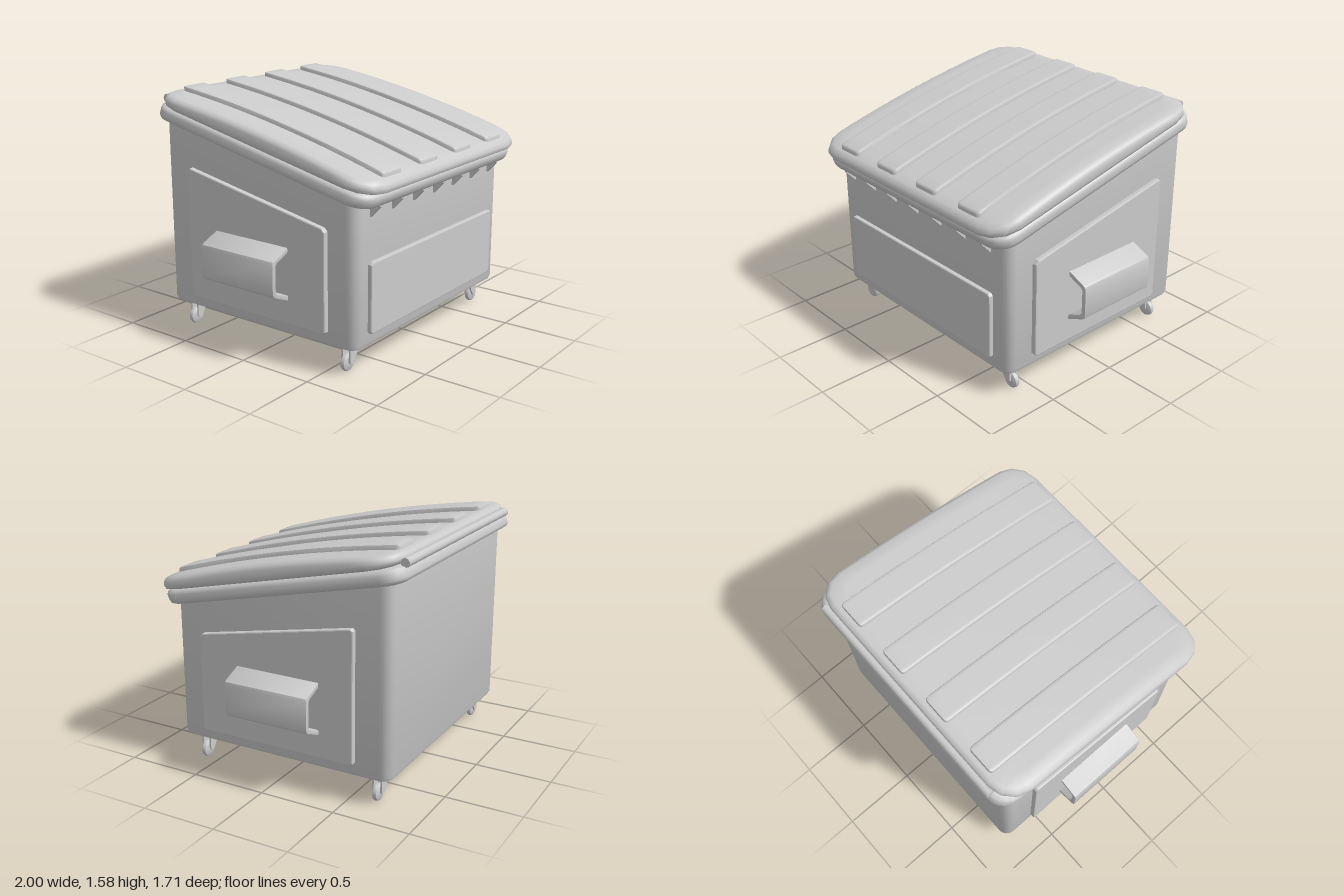
import * as THREE from 'three';
import { toCreasedNormals } from 'three/addons/utils/BufferGeometryUtils.js';

const grey = new THREE.MeshStandardMaterial({ color: 0xcccccc });

// Heights along the sloping top, as functions of z
const rimY = z => 1.215 - 0.2216 * z;
const lidY = z => 1.315 - 0.2216 * z;
const crownY = z => 1.425 - 0.2153 * z - 0.058 * z * z;

function add(parent, name, geometry, x = 0, y = 0, z = 0) {
  const mesh = new THREE.Mesh(geometry, grey);
  mesh.name = name;
  mesh.position.set(x, y, z);
  parent.add(mesh);
  return mesh;
}

// Rounded rectangle in x/z as a list of points, straight edges subdivided
function outline(w, d, r, seg, n) {
  const corners = [[1, 1], [-1, 1], [-1, -1], [1, -1]];
  const arcs = corners.map(([sx, sz], q) => {
    const arc = [];
    for (let i = 0; i <= seg; i++) {
      const a = (q + i / seg) * Math.PI / 2;
      arc.push([sx * (w / 2 - r) + r * Math.cos(a), sz * (d / 2 - r) + r * Math.sin(a)]);
    }
    return arc;
  });
  const pts = [];
  arcs.forEach((arc, q) => {
    pts.push(...arc);
    const a = arc[seg], b = arcs[(q + 1) % 4][0];
    for (let i = 1; i < n; i++) {
      const t = i / n;
      pts.push([a[0] + (b[0] - a[0]) * t, a[1] + (b[1] - a[1]) * t]);
    }
  });
  return pts;
}

// Loft of rounded rectangles; each ring is { inset, y(z), k: scale to centre, dz }
function loft({ x = 0, w, front, back, r, seg = 4, n = 1 }, rings, crease = 0.6) {
  const zc = (front + back) / 2, d = front - back, pos = [], idx = [];
  let m = 0;
  for (const { inset = 0, y, k = 1, dz = 0 } of rings) {
    const pts = outline(w - 2 * inset, d - 2 * inset, Math.max(r - inset, 0.004), seg, n);
    m = pts.length;
    for (const [px, pz] of pts) {
      const z = zc + pz * k + dz;
      pos.push(x + px * k, y(z), z);
    }
  }
  for (let i = 0; i < rings.length - 1; i++) for (let j = 0; j < m; j++) {
    const a = i * m + j, b = i * m + (j + 1) % m, c = a + m, e = b + m;
    if (rings[i].k !== 0) idx.push(a, c, b);
    if (rings[i + 1].k !== 0) idx.push(b, c, e);
  }
  const g = new THREE.BufferGeometry();
  g.setAttribute('position', new THREE.Float32BufferAttribute(pos, 3));
  g.setIndex(idx);
  return toCreasedNormals(g, crease);
}

// Rings that shrink to the centre to close a curved top
const cap = (inset, y, steps) =>
  Array.from({ length: steps }, (_, i) => ({ inset, y, k: 1 - (i + 1) / steps }));

// Extrusion centred on its depth
function extrude(points, depth, bevel = 0) {
  const shape = new THREE.Shape(points.map(p => new THREE.Vector2(...p)));
  const g = new THREE.ExtrudeGeometry(shape, {
    depth: depth - 2 * bevel, bevelEnabled: bevel > 0, bevelSize: bevel,
    bevelThickness: bevel, bevelOffset: -bevel, bevelSegments: 2,
  });
  return g.translate(0, 0, -(depth - 2 * bevel) / 2);
}

export function createModel() {
  const model = new THREE.Group();
  model.name = 'dumpster';

  // Container body with rounded corners and sloping top
  const bodyTop = z => rimY(z) + 0.05;
  add(model, 'body', loft({ w: 1.66, front: 0.72, back: -0.78, r: 0.07, seg: 6 }, [
    { inset: 0.03, y: () => 0.17, k: 0 },
    { inset: 0.03, y: () => 0.17 },
    { inset: 0.01, y: () => 0.178 },
    { y: () => 0.2 },
    { y: bodyTop },
    { y: bodyTop, k: 0 },
  ]));

  // Rounded rim around the opening
  const rimAt = h => z => rimY(z) + h;
  add(model, 'rim', loft({ w: 1.75, front: 0.81, back: -0.845, r: 0.13, seg: 5 }, [
    { inset: 0.03, y: rimAt(0), k: 0, dz: -0.012 },
    { inset: 0.03, y: rimAt(0), dz: -0.012 },
    { inset: 0.008, y: rimAt(0.01), dz: -0.01 },
    { y: rimAt(0.03), dz: -0.005 },
    { y: rimAt(0.065), dz: 0.008 },
    { inset: 0.008, y: rimAt(0.085), dz: 0.01 },
    { inset: 0.03, y: rimAt(0.095), dz: 0.012 },
    { inset: 0.03, y: rimAt(0.095), k: 0, dz: 0.012 },
  ], 0.9));

  // Domed lid
  const lidAt = h => z => lidY(z) + h;
  const crownAt = h => z => crownY(z) + h;
  add(model, 'lid', loft({ w: 1.79, front: 0.855, back: -0.81, r: 0.18, seg: 3, n: 14 }, [
    { inset: 0.03, y: lidAt(0), k: 0 },
    { inset: 0.03, y: lidAt(0) },
    { inset: 0.008, y: lidAt(0.008) },
    { y: lidAt(0.025) },
    { y: crownAt(-0.035) },
    { inset: 0.01, y: crownAt(-0.014) },
    { inset: 0.035, y: crownAt(0) },
    ...cap(0.035, crownAt(0), 12),
  ], 0.9));

  // Raised ribs following the lid
  for (const x of [-0.588, -0.196, 0.196, 0.588]) {
    add(model, 'lidRib', loft({ x, w: 0.195, front: 0.81, back: -0.755, r: 0.025, seg: 3, n: 14 }, [
      { y: crownAt(-0.02) },
      { y: crownAt(0.018) },
      { inset: 0.004, y: crownAt(0.026) },
      { inset: 0.014, y: crownAt(0.03) },
      ...cap(0.014, crownAt(0.03), 10),
    ], 0.7));
  }

  // Hinge bar along the back
  const hinge = new THREE.CylinderGeometry(0.028, 0.028, 1.52, 12).rotateZ(Math.PI / 2);
  add(model, 'hingeBar', hinge, 0, 1.505, -0.825);

  // Raised front panel, its corners slightly cut
  const c = 0.015;
  const frontPanel = extrude([
    [-0.7 + c, 0.255], [0.7 - c, 0.255], [0.7, 0.255 + c], [0.7, 0.7 - c],
    [0.7 - c, 0.7], [-0.7 + c, 0.7], [-0.7, 0.7 - c], [-0.7, 0.255 + c],
  ], 0.06, 0.008);
  add(model, 'frontPanel', frontPanel, 0, 0, 0.718);

  // Small gussets under the front of the rim
  for (let i = -3; i <= 3; i++) {
    const gusset = extrude([[-0.7, 0.97], [-0.725, 0.97], [-0.79, 1.04], [-0.79, 1.06], [-0.7, 1.06]], 0.02);
    add(model, 'gusset', gusset.rotateY(Math.PI / 2), i * 0.226);
  }

  for (const s of [-1, 1]) {
    // Side panel with sloping top edge
    const panel = extrude([
      [-0.51, 0.25], [0.54, 0.25], [0.555, 0.265], [0.555, 1.09], [0.54, 1.105],
      [-0.505, 0.903], [-0.525, 0.88], [-0.525, 0.265],
    ], 0.06, 0.008).rotateY(Math.PI / 2);
    add(model, 'sidePanel', panel, s * 0.833);

    // Open lifting pocket
    const pocket = extrude([
      [0.85, 0.744], [0.975, 0.692], [0.993, 0.68], [1, 0.66], [1, 0.485], [0.993, 0.465], [0.975, 0.452], [0.85, 0.398],
      [0.85, 0.432], [0.958, 0.478], [0.97, 0.495], [0.97, 0.648], [0.958, 0.665], [0.85, 0.71],
    ].map(([x, y]) => [s * x, y]), 0.575, 0.005);
    add(model, 'liftPocket', toCreasedNormals(pocket, 0.6), 0, 0, -0.038);

    // Casters
    for (const z of [0.595, -0.662]) {
      const caster = new THREE.Group();
      caster.name = 'caster';
      caster.position.z = z;
      model.add(caster);
      const profile = [[0, -0.02], [0.04, -0.02], [0.052, -0.013], [0.056, 0], [0.052, 0.013], [0.04, 0.02], [0, 0.02]];
      const wheel = new THREE.LatheGeometry(profile.map(p => new THREE.Vector2(...p)), 24).rotateX(Math.PI / 2);
      add(caster, 'wheel', toCreasedNormals(wheel, 0.7), s * 0.732, 0.056);
      for (const side of [-1, 1]) {
        const plate = extrude([
          [0.665, 0.18], [0.745, 0.18], [0.748, 0.06], [0.735, 0.047], [0.715, 0.05], [0.68, 0.1],
        ].map(([x, y]) => [s * x, y]), 0.012);
        add(caster, 'forkPlate', plate, 0, 0, side * 0.028);
      }
      const axle = new THREE.CylinderGeometry(0.01, 0.01, 0.066, 10).rotateX(Math.PI / 2);
      add(caster, 'axle', axle, s * 0.732, 0.06);
      add(caster, 'forkTop', new THREE.BoxGeometry(0.08, 0.02, 0.066), s * 0.705, 0.165);
    }
  }
  return model;
}
